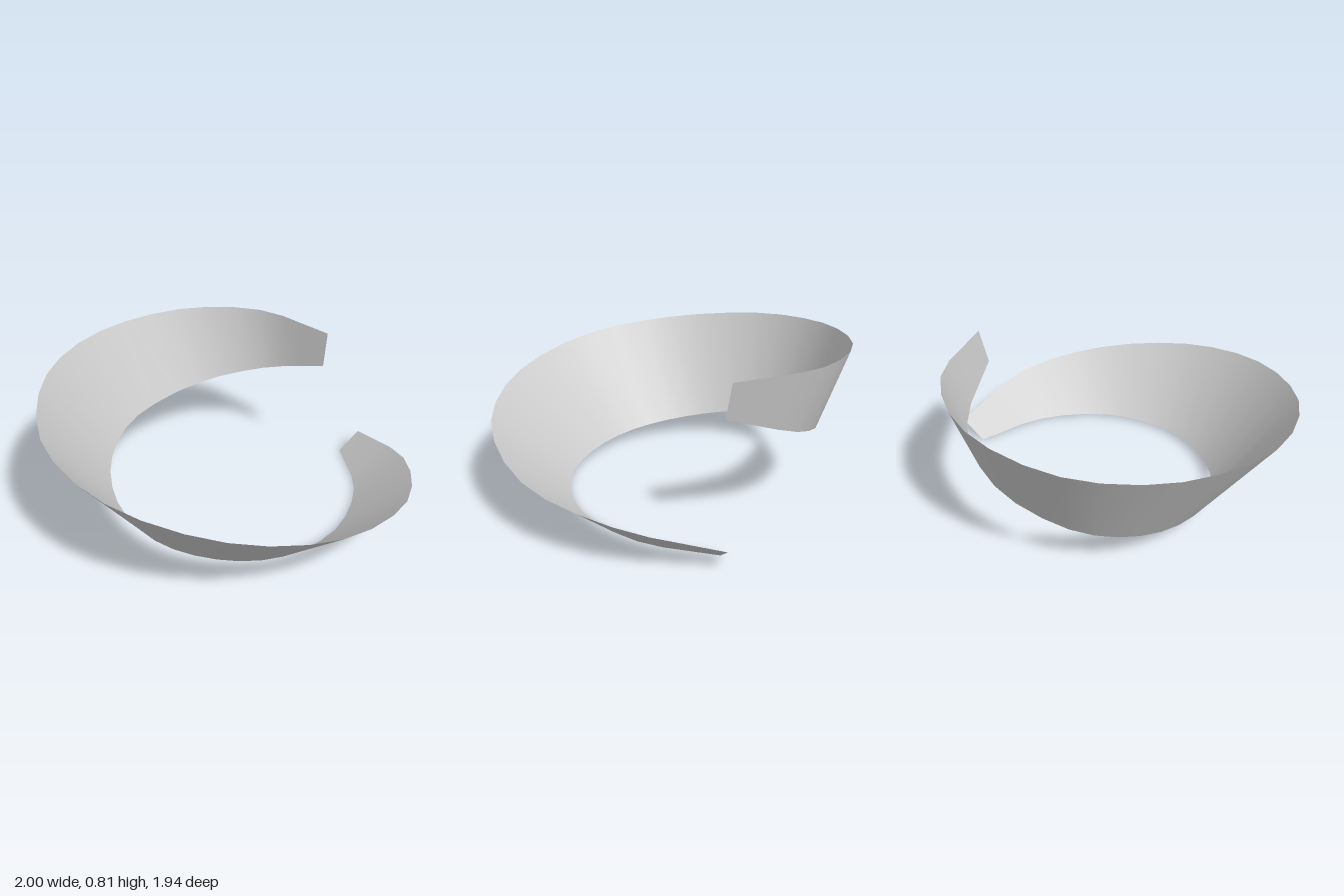
import * as THREE from 'three';

// Rising, flaring spiral ribbon stretched between two edge curves
const SEGMENTS = 33;

const edge = (points) =>
  new THREE.CatmullRomCurve3(points.map((p) => new THREE.Vector3(...p)), false, 'catmullrom', 0.5)
    .getPoints(SEGMENTS);

function ribbonGeometry(lower, upper) {
  const positions = [];
  const indices = [];
  for (let i = 0; i <= SEGMENTS; i++) {
    positions.push(...lower[i].toArray(), ...upper[i].toArray());
    if (i < SEGMENTS) {
      const a = i * 2;
      indices.push(a, a + 1, a + 2, a + 1, a + 3, a + 2);
    }
  }
  const geometry = new THREE.BufferGeometry();
  geometry.setAttribute('position', new THREE.Float32BufferAttribute(positions, 3));
  geometry.setIndex(indices);
  geometry.computeVertexNormals();
  return geometry;
}

export function createModel() {
  // Wide upper edge, from the low start round the front and back to the high end
  const upper = edge([
    [1, 0.1, -0.075], [0.9, 0.222, 0.43], [0.55, 0.305, 0.82], [0, 0.41, 0.97],
    [-0.53, 0.515, 0.81], [-0.91, 0.608, 0.38], [-0.99, 0.672, -0.17], [-0.75, 0.735, -0.68],
    [-0.31, 0.772, -0.95], [0.22, 0.8, -0.92], [0.61, 0.812, -0.62], [0.75, 0.81, -0.14],
  ]);
  // Narrow lower edge
  const lower = edge([
    [0.86, 0, -0.075], [0.675, 0.005, 0.29], [0.34, 0.01, 0.53], [-0.04, 0.02, 0.565],
    [-0.35, 0.04, 0.42], [-0.565, 0.07, 0.15], [-0.61, 0.118, -0.2], [-0.48, 0.185, -0.53],
    [-0.2, 0.265, -0.74], [0.23, 0.36, -0.745], [0.57, 0.472, -0.52], [0.715, 0.62, -0.12],
  ]);

  const ribbon = new THREE.Mesh(
    ribbonGeometry(lower, upper),
    new THREE.MeshStandardMaterial({ color: 0xcccccc, side: THREE.DoubleSide }),
  );
  ribbon.name = 'spiralRibbon';

  const group = new THREE.Group();
  group.name = 'spiralBand';
  group.add(ribbon);
  return group;
}
